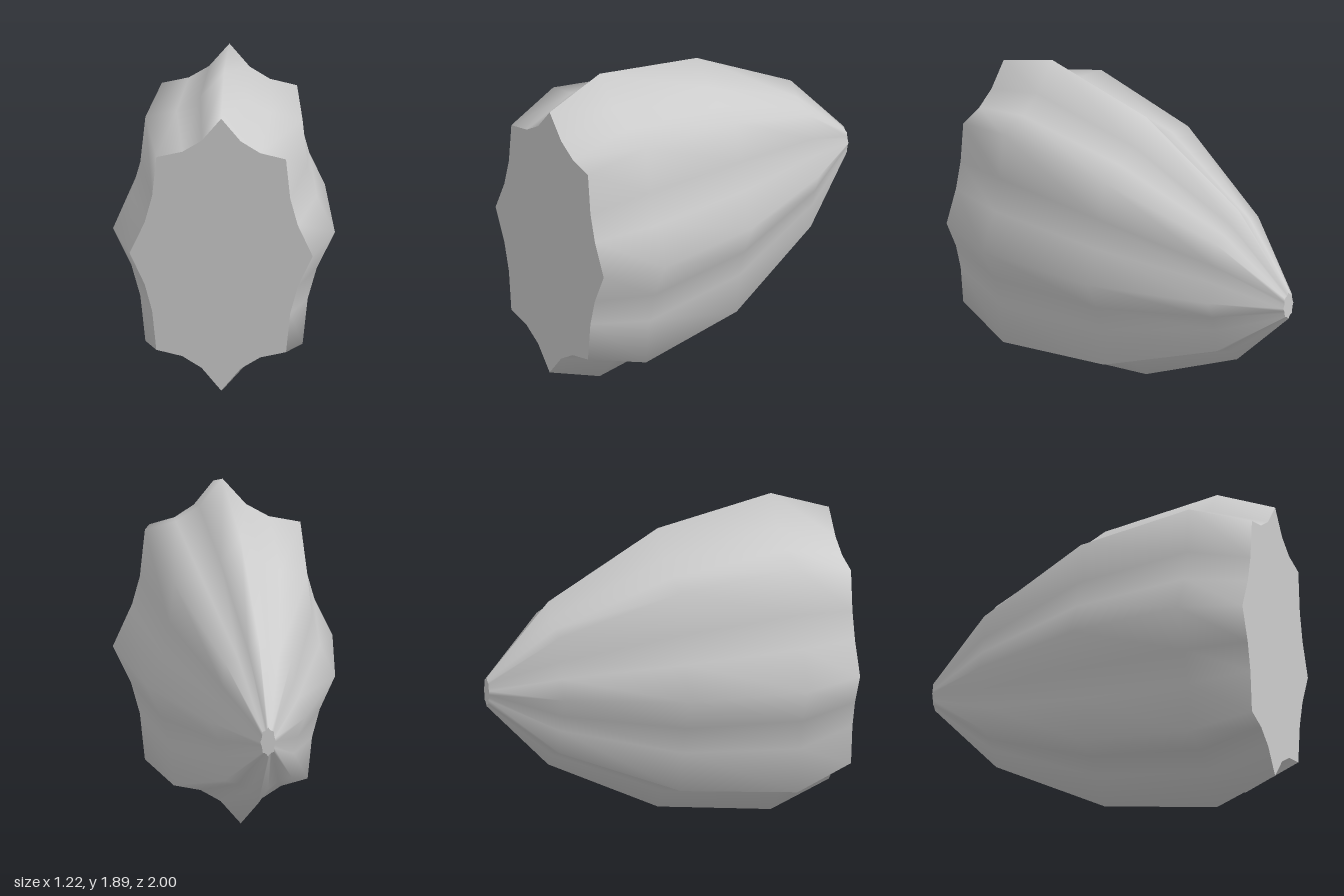
import * as THREE from 'three';

// One quarter of the fluted cross-section, from the side ridge up to the top ridge
const QUARTER = [[0.61, 0], [0.51, 0.215], [0.46, 0.4], [0.432, 0.67], [0.26, 0.71], [0.13, 0.79], [0, 0.945]];
// Rings from front to back: z, width scale, height scale
const RINGS = [[1, 0.825, 0.86], [0.66, 1, 1], [0, 0.86, 0.881], [-0.64, 0.43, 0.515], [-1, 0.072, 0.09]];
const CENTRE_Y = 0.945;

// Mirror the quarter into a full counter-clockwise outline
function outline() {
  const half = [...QUARTER, ...QUARTER.slice(0, -1).reverse().map(([x, y]) => [-x, y])];
  return [...half, ...half.slice(1, -1).reverse().map(([x, y]) => [x, -y])];
}

// Smooth skin lofted through the rings
function skinGeometry(profile) {
  const n = profile.length, positions = [], index = [];
  for (const [z, sx, sy] of RINGS)
    for (const [x, y] of profile) positions.push(x * sx, y * sy, z);
  for (let r = 0; r < RINGS.length - 1; r++)
    for (let i = 0; i < n; i++) {
      const a = r * n + i, b = r * n + (i + 1) % n, c = a + n, d = b + n;
      index.push(a, c, b, b, c, d);
    }
  const g = new THREE.BufferGeometry();
  g.setAttribute('position', new THREE.Float32BufferAttribute(positions, 3));
  g.setIndex(index);
  g.computeVertexNormals();
  return g;
}

// Flat cap closing one ring
function capGeometry(profile, [z, sx, sy], facesBack) {
  const shape = new THREE.Shape(profile.map(([x, y]) => new THREE.Vector2(x * sx, y * sy)));
  const g = new THREE.ShapeGeometry(shape);
  if (facesBack) g.rotateY(Math.PI);
  return g.translate(0, 0, z);
}

export function createModel() {
  const group = new THREE.Group();
  group.name = 'flutedPod';
  const grey = new THREE.MeshStandardMaterial({ name: 'light grey', color: 0xcccccc });
  const profile = outline();
  const add = (name, geometry) => {
    const mesh = new THREE.Mesh(geometry, grey);
    mesh.name = name;
    mesh.position.y = CENTRE_Y;
    group.add(mesh);
  };
  add('flutedSkin', skinGeometry(profile));
  add('frontCap', capGeometry(profile, RINGS[0], false));
  add('backCap', capGeometry(profile, RINGS[RINGS.length - 1], true));
  return group;
}
